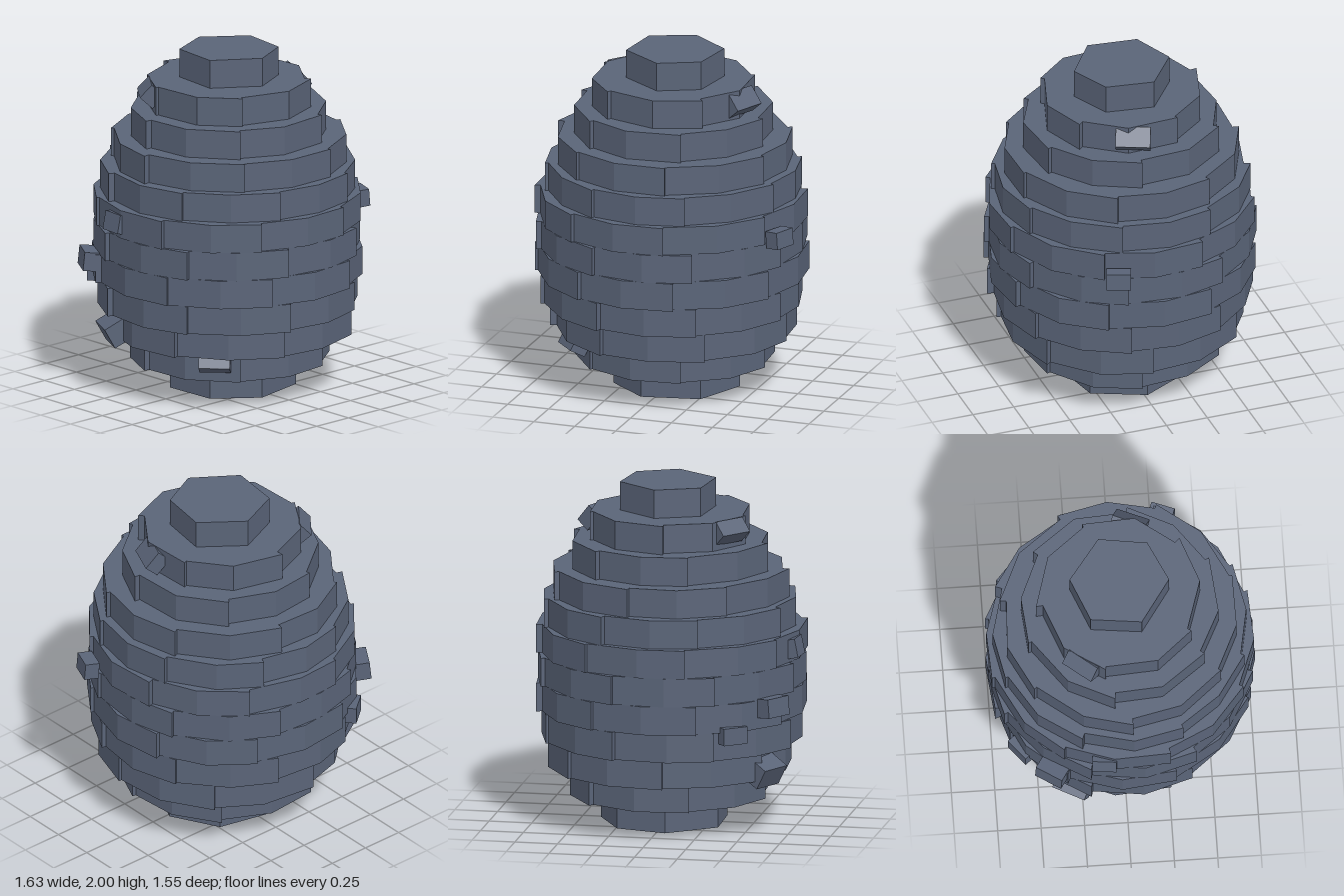
import * as THREE from 'three';

// Small seeded generator, returns -1..1
function makeRandom(seed) {
  let s = seed;
  return () => {
    s = (s * 16807) % 2147483647;
    return (s / 2147483647) * 2 - 1;
  };
}

const H = 2 / 12;

// Per course, bottom to top: corner radius, facet count, x of the front corner, x shift
const COURSES = [
  [0.37, 7, -0.06, 0.02], [0.575, 12, -0.08, 0], [0.7, 14, 0.09, 0], [0.75, 16, 0.08, -0.02],
  [0.775, 16, -0.05, -0.02], [0.773, 16, -0.5, -0.02], [0.77, 16, -0.09, -0.02], [0.73, 16, 0.02, -0.01],
  [0.675, 14, -0.12, -0.005], [0.568, 12, -0.08, -0.01], [0.465, 10, 0.03, -0.01], [0.285, 6, -0.025, 0],
];

// Loose stones: position, size (length along z), yaw, roll
const STONES = [
  [[0.43, 1.755, 0.085], [0.12, 0.09, 0.2], -0.4, -0.87],
  [[-0.4, 1.765, -0.233], [0.1, 0.1, 0.2], -0.67, -0.75],
  [[0.743, 1.03, 0.29], [0.085, 0.1, 0.14], -0.37, 0.08],
  [[-0.695, 0.79, -0.43], [0.1, 0.11, 0.17], -0.57, -0.1],
  [[-0.76, 1.08, -0.135], [0.075, 0.11, 0.14], -0.1, -0.2],
  [[-0.49, 0.65, -0.59], [0.09, 0.1, 0.15], -0.89, 0],
  [[-0.62, 0.38, -0.3], [0.13, 0.13, 0.2], -0.48, 0.5],
  [[-0.47, 0.3, 0.38], [0.1, 0.11, 0.18], 0.75, -0.5],
];

// One course: a polygon of two-facet bricks, each turned slightly so that
// its far end stands proud of the next brick; the small end courses are plain
function courseGeometry(radius, sides, frontX, random) {
  const start = Math.asin(frontX / radius);
  const points = [];
  const add = (a, r) => points.push(new THREE.Vector2(r * Math.sin(a), -r * Math.cos(a)));
  for (let i = 0; i < sides; i++) {
    const angle = start + ((i + random() * 0.06) / sides) * Math.PI * 2;
    const corner = radius + random() * 0.005;
    if (sides > 8 && i % 2 === 1) {
      const step = 0.014 + 0.006 * random();
      add(angle, corner + step);
      add(angle, corner - step);
    } else {
      add(angle, corner);
    }
  }
  const geometry = new THREE.ExtrudeGeometry(new THREE.Shape(points), { depth: H, bevelEnabled: false });
  return geometry.rotateX(-Math.PI / 2);
}

export function createModel() {
  const model = new THREE.Group();
  model.name = 'stoneEgg';
  const slate = new THREE.MeshStandardMaterial({ color: 0x5a6478 });
  slate.name = 'slate';
  slate.flatShading = true;
  const random = makeRandom(4711);

  // Stacked brick courses
  COURSES.forEach(([radius, sides, frontX, shift], i) => {
    const course = new THREE.Mesh(courseGeometry(radius, sides, frontX - shift, random), slate);
    course.name = `brickCourse${i + 1}`;
    course.position.set(shift, i * H, 0);
    model.add(course);
  });

  // Small stones jutting from the surface
  STONES.forEach(([position, size, yaw, roll], i) => {
    const stone = new THREE.Mesh(new THREE.BoxGeometry(...size), slate);
    stone.name = `looseStone${i + 1}`;
    stone.position.set(...position);
    stone.rotation.set(0, yaw, roll, 'YXZ');
    model.add(stone);
  });

  return model;
}
